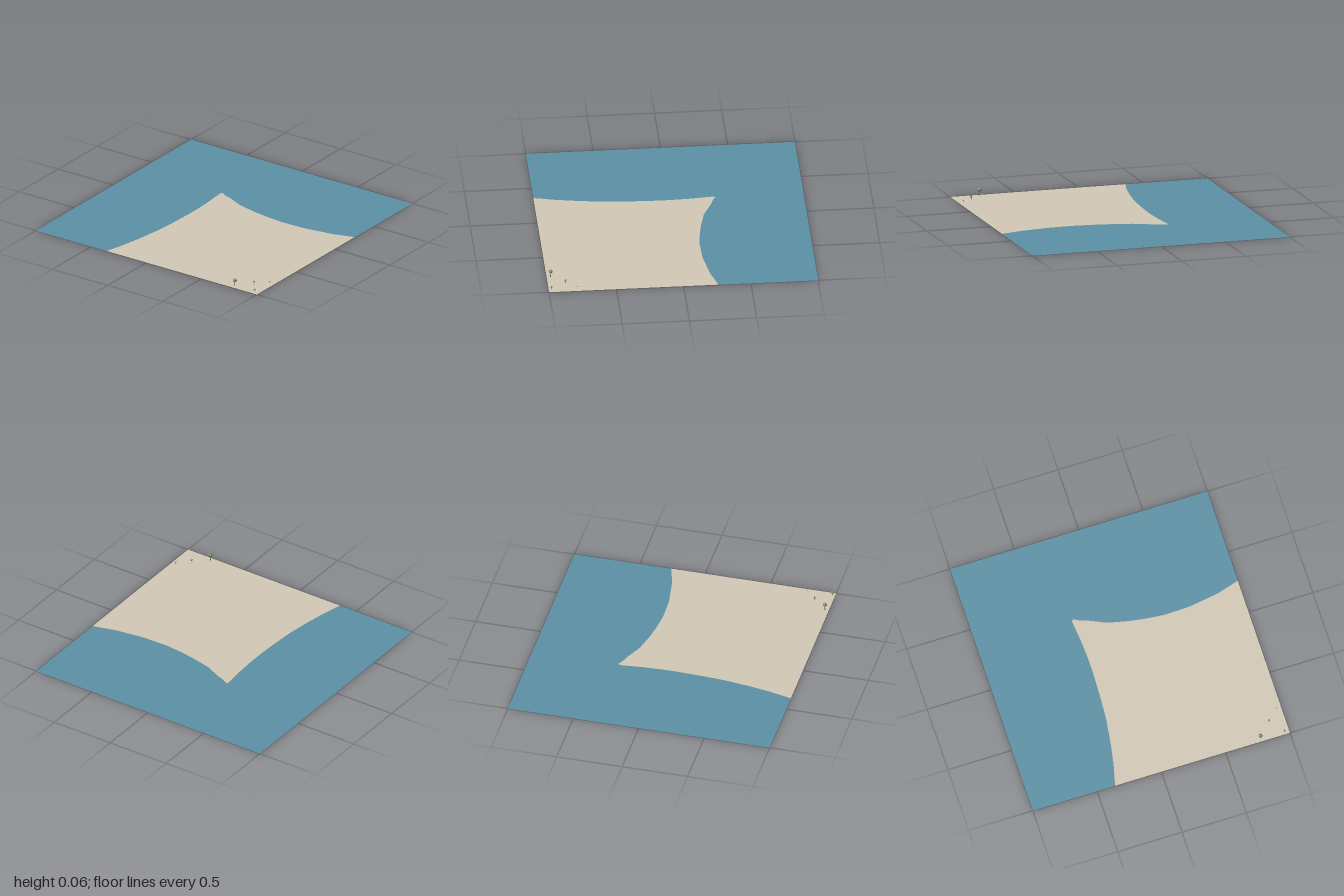
import * as THREE from 'three';

const STEP = 0.001; // height of the beach above the sea

// Shoreline as [x, z], from the front edge round the headland to the +x edge
const SHORE = [
  [-0.36, 1], [-0.32, 0.84], [-0.29, 0.68], [-0.262, 0.48], [-0.25, 0.3], [-0.243, 0.1],
  [-0.243, 0], [-0.25, -0.15], [-0.267, -0.33], [-0.255, -0.345], [-0.21, -0.32], [-0.15, -0.3],
  [-0.02, -0.24], [0.13, -0.205], [0.25, -0.185], [0.4, -0.17], [0.6, -0.175], [0.83, -0.21], [1, -0.26],
];

// Flat sheet from an outline of [x, z] points
function sheet(name, outline, y, material) {
  const shape = new THREE.Shape(outline.map(([x, z]) => new THREE.Vector2(x, -z)));
  const mesh = new THREE.Mesh(new THREE.ShapeGeometry(shape).rotateX(-Math.PI / 2), material);
  mesh.position.y = y;
  mesh.name = name;
  return mesh;
}

// Thin bank joining the beach to the sea
function bank(material) {
  const positions = [], index = [];
  SHORE.forEach(([x, z], i) => {
    positions.push(x, 0, z, x, STEP, z);
    if (i) {
      const a = 2 * i - 2;
      index.push(a, a + 1, a + 2, a + 1, a + 3, a + 2);
    }
  });
  const geometry = new THREE.BufferGeometry();
  geometry.setAttribute('position', new THREE.Float32BufferAttribute(positions, 3));
  geometry.setIndex(index);
  geometry.computeVertexNormals();
  const mesh = new THREE.Mesh(geometry, material);
  mesh.name = 'shoreBank';
  return mesh;
}

// Small tree: thin trunk with a faceted round crown
function tree(x, z, crownY, radius, bark, leaf) {
  const group = new THREE.Group();
  group.name = 'tree';
  const trunk = new THREE.Mesh(new THREE.CylinderGeometry(radius * 0.12, radius * 0.18, crownY, 6), bark);
  trunk.position.y = crownY / 2;
  trunk.name = 'trunk';
  const crown = new THREE.Mesh(new THREE.IcosahedronGeometry(radius, 1), leaf);
  crown.position.y = crownY;
  crown.name = 'crown';
  group.add(trunk, crown);
  group.position.set(x, 0, z);
  return group;
}

export function createModel() {
  const model = new THREE.Group();
  model.name = 'coast';
  const water = new THREE.MeshStandardMaterial({ color: 0x5b90a5, side: THREE.DoubleSide });
  const sand = new THREE.MeshStandardMaterial({ color: 0xd2c8b6, side: THREE.DoubleSide });
  const bark = new THREE.MeshStandardMaterial({ color: 0x6b5a48, flatShading: true });
  const leaf = new THREE.MeshStandardMaterial({ color: 0x6f9468, flatShading: true });

  // Sea and beach share the shoreline
  model.add(sheet('sea', [...SHORE, [1, -1], [-1, -1], [-1, 1]], 0, water));
  model.add(sheet('beach', [...SHORE, [1, 1]], STEP, sand));
  model.add(bank(sand));

  // Trees near the front corner: x, z, crown height, crown radius
  for (const [x, z, y, r] of [
    [0.78, 0.97, 0.048, 0.015],
    [0.88, 0.867, 0.025, 0.008],
    [0.965, 0.98, 0.025, 0.008],
    [0.965, 0.786, 0.017, 0.005],
  ]) model.add(tree(x, z, y, r, bark, leaf));

  return model;
}
